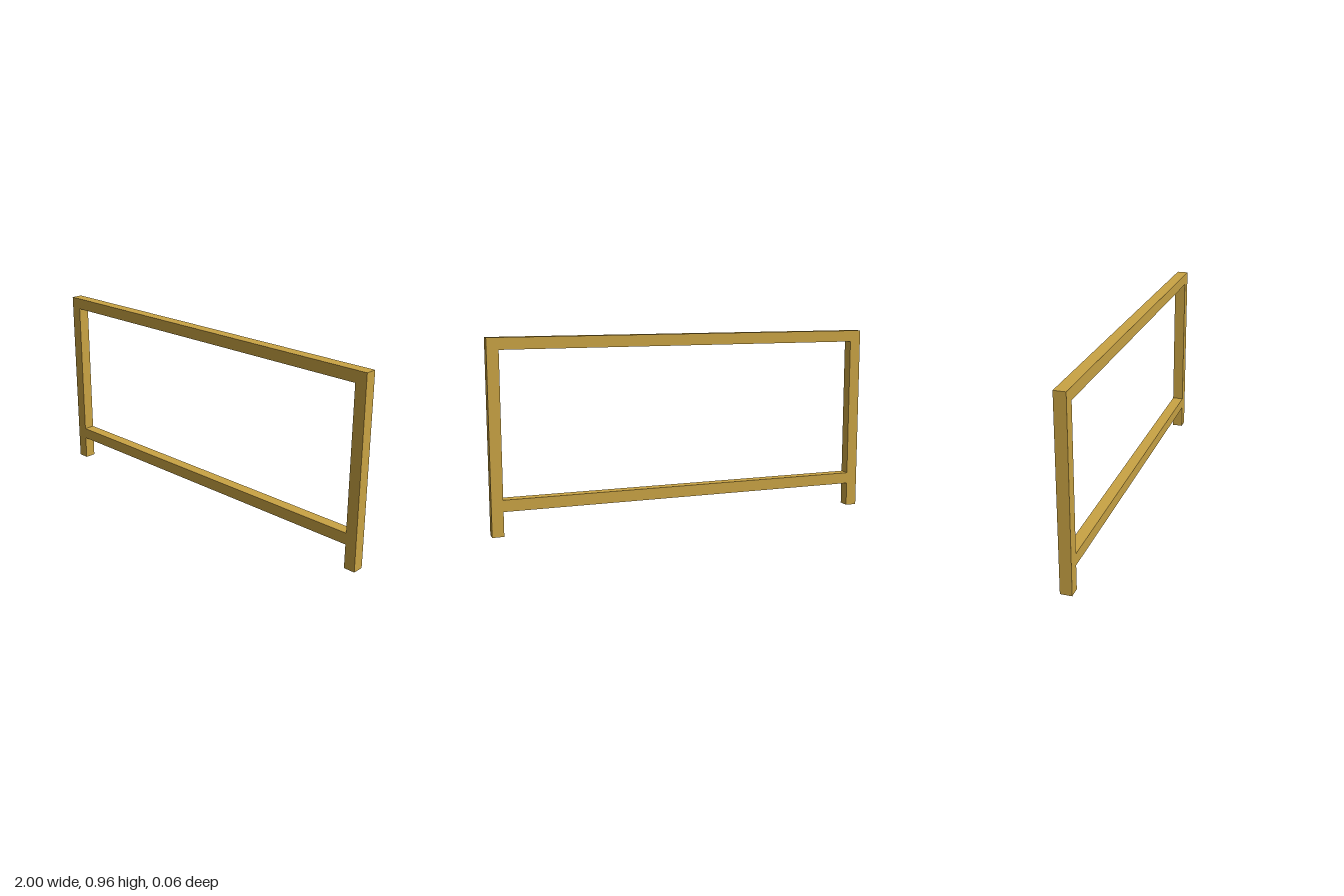
import * as THREE from 'three';

const T = 0.058;      // square section of every bar
const HEIGHT = 0.96;
const LENGTH = 2;

// Box whose listed faces are left open (0 +x, 1 -x, 2 +y, 3 -y, 4 +z, 5 -z)
function openBox(w, h, d, openFaces) {
  const geometry = new THREE.BoxGeometry(w, h, d);
  const index = Array.from(geometry.index.array);
  geometry.setIndex(index.filter((_, i) => !openFaces.includes(Math.floor(i / 6))));
  geometry.clearGroups();
  return geometry;
}

export function createModel() {
  const model = new THREE.Group();
  model.name = 'frame';

  const gold = new THREE.MeshStandardMaterial({ color: 0xc9a344, side: THREE.DoubleSide });
  gold.name = 'gold';

  function addBar(name, geometry, x, y) {
    const mesh = new THREE.Mesh(geometry, gold);
    mesh.name = name;
    mesh.position.set(x, y, 0);
    model.add(mesh);
  }

  // Upright posts, hollow and open at the foot
  for (const [name, side] of [['leftPost', 1], ['rightPost', -1]]) {
    addBar(name, openBox(T, HEIGHT, T, [3]), side * (LENGTH - T) / 2, HEIGHT / 2);
  }

  // Horizontal rails between the posts
  for (const [name, y] of [['topRail', HEIGHT - T / 2], ['lowerRail', 0.152]]) {
    addBar(name, openBox(LENGTH - 2 * T, T, T, [0, 1]), 0, y);
  }

  return model;
}
